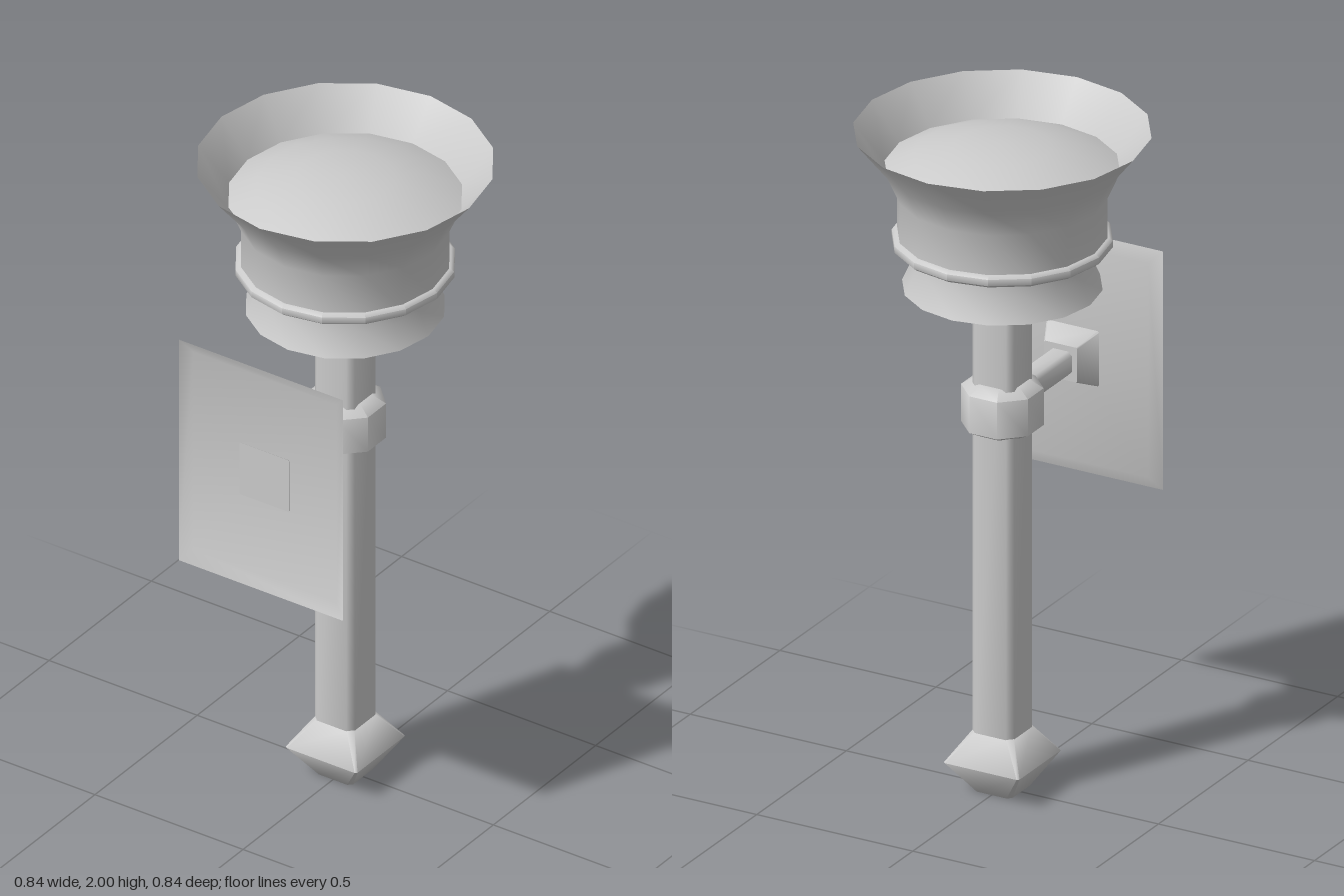
import * as THREE from 'three';
import { toCreasedNormals } from 'three/addons/utils/BufferGeometryUtils.js';

const material = new THREE.MeshStandardMaterial({ color: 0xcccccc, side: THREE.DoubleSide });

// Stack of chamfered rectangles along y: each section is [y, halfX, halfZ, chamfer]
function loft(sections, { start = true, end = true } = {}) {
  const pos = [], idx = [], n = 8;
  for (const [y, hx, hz, c] of sections) {
    const ring = [
      [hx, -hz + c], [hx, hz - c], [hx - c, hz], [-hx + c, hz],
      [-hx, hz - c], [-hx, -hz + c], [-hx + c, -hz], [hx - c, -hz],
    ];
    for (const [x, z] of ring) pos.push(x, y, z);
  }
  for (let i = 0; i < sections.length - 1; i++) {
    for (let j = 0; j < n; j++) {
      const a = i * n + j, b = i * n + (j + 1) % n;
      idx.push(a, a + n, b, b, a + n, b + n);
    }
  }
  const last = (sections.length - 1) * n;
  for (let j = 1; j < n - 1; j++) {
    if (start) idx.push(0, j, j + 1);
    if (end) idx.push(last, last + j + 1, last + j);
  }
  const geo = new THREE.BufferGeometry();
  geo.setAttribute('position', new THREE.Float32BufferAttribute(pos, 3));
  geo.setIndex(idx);
  return geo;
}

// Turned part from [radius, y] points
function turned(points, segments = 16, phi = 0) {
  return new THREE.LatheGeometry(points.map(([r, y]) => new THREE.Vector2(r, y)), segments, phi);
}

export function createModel() {
  const group = new THREE.Group();
  const add = (name, geo, crease = 0.9) => {
    const mesh = new THREE.Mesh(toCreasedNormals(geo, crease), material);
    mesh.name = name;
    group.add(mesh);
    return mesh;
  };
  // Parts that run along z at the height of the wall bracket
  const addAlongZ = (name, geo, crease) => {
    const mesh = add(name, geo.rotateX(Math.PI / 2), crease);
    mesh.position.y = 1.17;
  };

  // Shaft with chamfered corners and its square end knob
  add('shaft', loft([[0.15, 0.067, 0.067, 0.017], [1.54, 0.067, 0.067, 0.017]]));
  add('endKnob', loft([
    [0, 0.06, 0.06, 0.012],
    [0.095, 0.121, 0.121, 0.006],
    [0.182, 0.066, 0.066, 0.016],
  ]), 1.2);

  // Torch head: flared base, band, open bowl and the domed filling
  add('headBase', turned([[0, 1.53], [0.281, 1.53], [0.25, 1.6], [0.247, 1.665]]));
  add('headBand', turned([
    [0.24, 1.655], [0.3, 1.655], [0.31, 1.663], [0.31, 1.682], [0.3, 1.69], [0.28, 1.69],
  ]));
  add('bowl', turned([
    [0.24, 1.672], [0.295, 1.672], [0.295, 1.81], [0.33, 1.89], [0.418, 2],
  ]));
  add('domedFilling', turned([
    [0.33, 1.89], [0.25, 1.925], [0.14, 1.952], [0, 1.962],
  ]));

  // Collar around the shaft
  add('collar', turned([
    [0.06, 1.09], [0.078, 1.09], [0.116, 1.11], [0.116, 1.222], [0.078, 1.245], [0.06, 1.245],
  ], 8, Math.PI / 8), 1);

  // Bracket arm, flange and dished wall plate
  addAlongZ('bracketArm', loft([[0.06, 0.036, 0.036, 0.012], [0.34, 0.036, 0.036, 0.012]]));
  addAlongZ('bracketFlange', loft([
    [0.325, 0.053, 0.053, 0.004], [0.395, 0.085, 0.085, 0.004],
  ]));
  addAlongZ('wallPlate', loft([
    [0.393, 0.242, 0.325, 0.001], [0.413, 0.277, 0.363, 0.001],
  ], { end: false }));

  return group;
}
